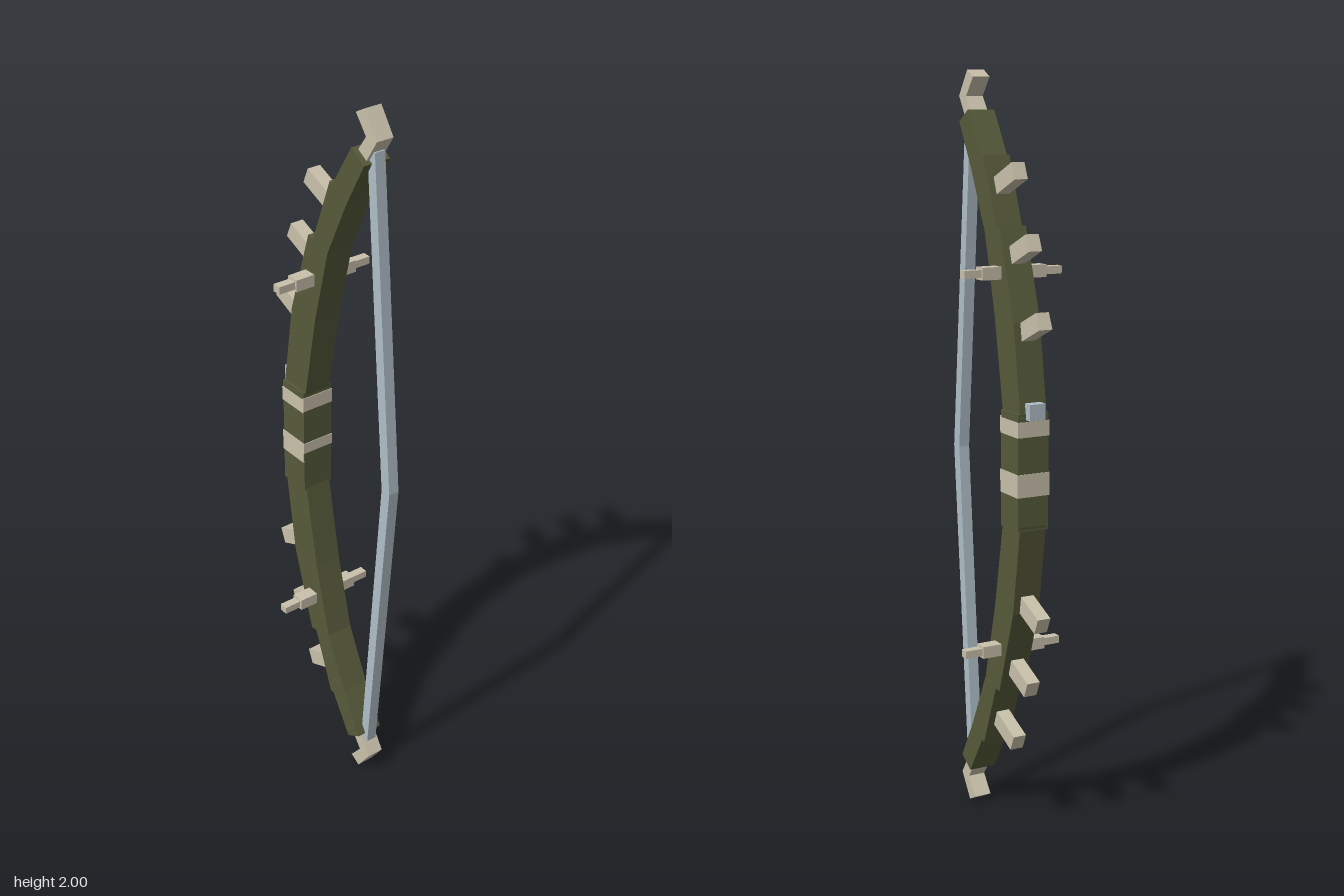
import * as THREE from 'three';

const material = (name, color) => {
  const m = new THREE.MeshStandardMaterial({ color });
  m.name = name;
  return m;
};

export function createModel() {
  const bow = new THREE.Group();
  bow.name = 'bow';
  const olive = material('olive wood', 0x565a3a);
  const bone = material('pale bone', 0xc9c1ab);
  const steel = material('blue grey cord', 0xb0bfc8);

  const add = (name, geometry, mat) => {
    const mesh = new THREE.Mesh(geometry, mat);
    mesh.name = name;
    bow.add(mesh);
    return mesh;
  };
  // Box given by its limits on each axis
  const box = (name, mat, x0, x1, y0, y1, z0, z1) =>
    add(name, new THREE.BoxGeometry(x1 - x0, y1 - y0, z1 - z0), mat)
      .position.set((x0 + x1) / 2, (y0 + y1) / 2, (z0 + z1) / 2);
  // Outline in the xy plane, extruded evenly to both sides of z = 0
  const slab = (name, mat, points, halfDepth) => {
    const shape = new THREE.Shape(points.map(([x, y]) => new THREE.Vector2(x, y)));
    const geometry = new THREE.ExtrudeGeometry(shape, { depth: halfDepth * 2, bevelEnabled: false });
    add(name, geometry.translate(0, 0, -halfDepth), mat);
  };

  // Grip with two wrapped bands
  box('grip', olive, -0.178, -0.087, 0.85, 1.155, -0.044, 0.044);
  box('lowerBand', bone, -0.18, -0.088, 0.94, 1.0, -0.046, 0.046);
  box('upperBand', bone, -0.18, -0.088, 1.095, 1.135, -0.046, 0.046);
  box('lowerBandInside', bone, -0.09, -0.085, 0.97, 1.0, -0.046, 0.046);
  box('upperBandInside', bone, -0.09, -0.085, 1.1, 1.14, -0.046, 0.046);

  // Arrow rest
  box('arrowRest', steel, -0.2, -0.17, 1.14, 1.182, -0.022, 0.022);

  // Cord, bent at the middle
  slab('bowString', steel, [
    [0.132, 1.9], [0.205, 1.0], [0.132, 0.11], [0.16, 0.11], [0.236, 1.0], [0.16, 1.9],
  ], 0.015);

  // Everything on the limbs is repeated above and below the grip
  for (const s of [1, -1]) {
    const side = s > 0 ? 'upper' : 'lower';
    const flip = (points) => points.map(([x, y]) => [x, 1.002 + s * y]);

    // Limb, tapering outward in stepped sections
    slab(side + 'Limb', olive, flip([
      [-0.179, 0.12], [-0.179, 0.14], [-0.142, 0.38], [-0.068, 0.613], [-0.048, 0.61],
      [0.02, 0.787], [0.032, 0.785], [0.102, 0.898],
      [0.15, 0.868], [0.083, 0.747], [0.01, 0.593], [-0.043, 0.385], [-0.088, 0.14], [-0.088, 0.12],
    ]), 0.038);

    // Hooked tip
    slab(side + 'Tip', bone, flip([
      [0.1, 0.98], [0.132, 0.998], [0.178, 0.932], [0.138, 0.87], [0.108, 0.89], [0.138, 0.932],
    ]), 0.024);

    // Spikes along the outer edge
    [[-0.103, 0.752], [-0.176, 0.58], [-0.229, 0.392]].forEach(([x, y], i) => {
      const length = 0.115;
      const angle = -s * 0.41;
      const spike = add(side + 'Spike' + (i + 1), new THREE.BoxGeometry(length, 0.045, 0.037), bone);
      spike.rotation.z = angle;
      spike.position.set(
        x + Math.cos(angle) * length / 2, 1.002 + s * y + Math.sin(angle) * length / 2, 0);
    });

    // Stepped pegs on the front and back faces
    const y = 1.004 + s * 0.496;
    for (const f of [1, -1]) {
      const peg = (name, r, h, from, to) =>
        box(side + (f > 0 ? 'Front' : 'Back') + name, bone, -0.062 - r, -0.062 + r,
          y - h, y + h, Math.min(f * from, f * to), Math.max(f * from, f * to));
      peg('PegBase', 0.018, 0.016, 0.03, 0.092);
      peg('PegPoint', 0.012, 0.01, 0.09, 0.14);
    }
  }
  return bow;
}
